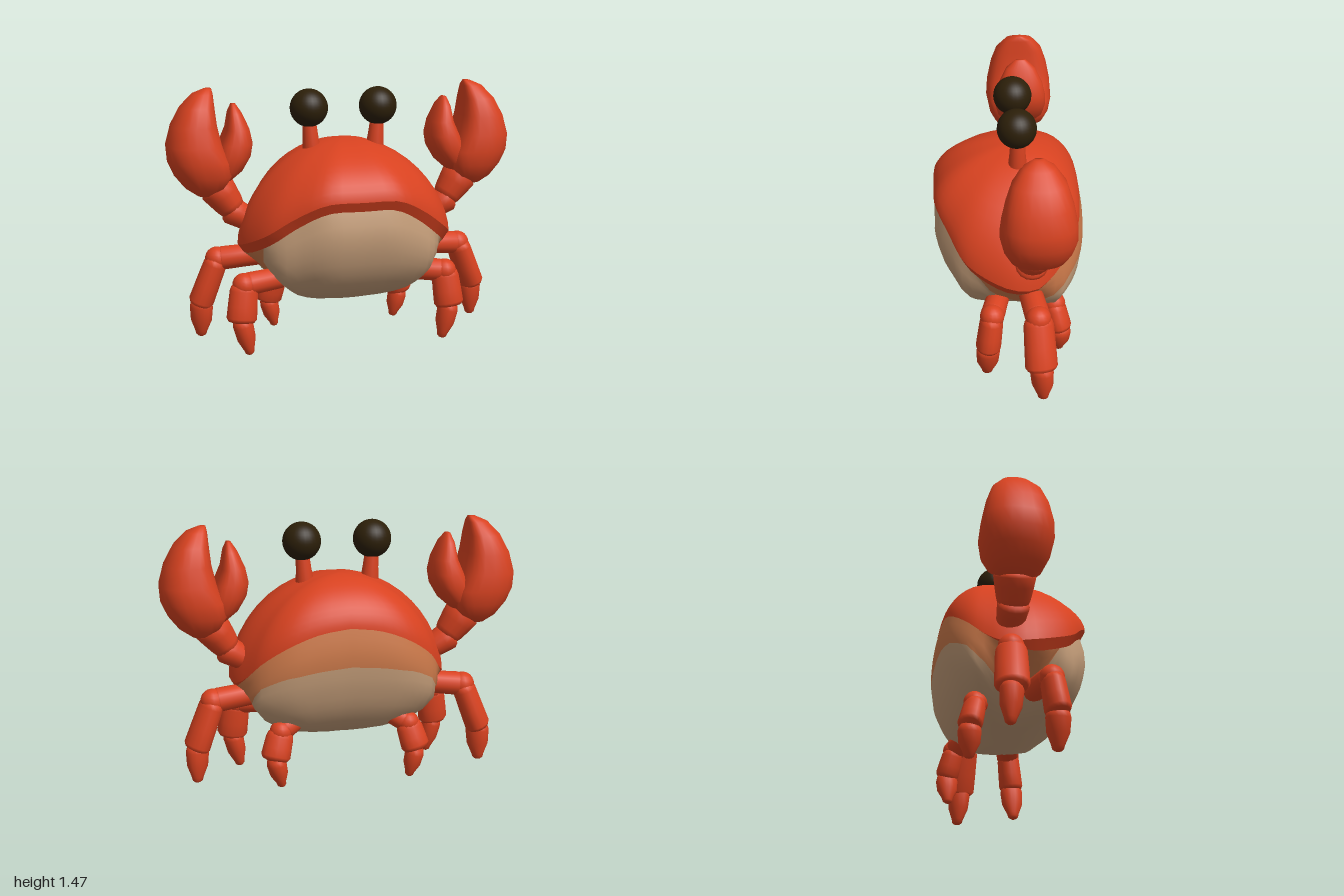
import * as THREE from 'three';

const mat = (name, color) => {
  const m = new THREE.MeshStandardMaterial({ color });
  m.name = name;
  return m;
};
const V = (x, y, z) => new THREE.Vector3(x, y, z);

// Surface through closed rings listed from top to bottom
function loft(rings) {
  const n = rings[0].length, pos = [], idx = [];
  rings.forEach(r => r.forEach(p => pos.push(p.x, p.y, p.z)));
  for (let i = 0; i < rings.length - 1; i++) {
    for (let j = 0; j < n; j++) {
      const k = (j + 1) % n;
      const a = i * n + j, b = a + n, c = (i + 1) * n + k, d = i * n + k;
      idx.push(a, b, c, a, c, d);
    }
  }
  const g = new THREE.BufferGeometry();
  g.setAttribute('position', new THREE.Float32BufferAttribute(pos, 3));
  g.setIndex(idx);
  g.computeVertexNormals();
  return g;
}

// Piecewise linear lookup in [[x, y], ...]
function lookup(table, x) {
  for (let i = 1; i < table.length; i++) {
    const [x0, y0] = table[i - 1], [x1, y1] = table[i];
    if (x <= x1) return y0 + (y1 - y0) * Math.max(0, (x - x0) / (x1 - x0));
  }
  return table[table.length - 1][1];
}

// Limb segment with rounded ends from a to b; radii at start, middle and end
function segment(a, b, r1, mid, r2, depth = 1) {
  const len = a.distanceTo(b);
  const profile = [
    [0, -0.02], [r1 * 0.6, -0.015], [r1 * 0.9, 0.01], [r1, 0.035], [mid, len * 0.55],
    [r2, len - 0.03], [r2 * 0.85, len - 0.01], [r2 * 0.5, len], [0, len + 0.003],
  ].map(p => new THREE.Vector2(...p));
  const g = new THREE.LatheGeometry(profile, 16);
  g.scale(1, 1, depth);
  const q = new THREE.Quaternion().setFromUnitVectors(V(0, 1, 0), b.clone().sub(a).normalize());
  g.applyQuaternion(q);
  g.translate(a.x, a.y, a.z);
  return g;
}

// Claw finger from levels [y, inner x, outer x, half depth]; flat is the flatter side in x
function finger(levels, side, flat) {
  const ring = ([y, x0, x1, d], k = 1) => {
    const out = [];
    for (let j = 0; j < 24; j++) {
      const t = j / 24 * Math.PI * 2, c = Math.cos(t), s = Math.sin(t);
      const e = s * flat * side > 0 ? 0.62 : 0.88;
      out.push(V(
        side * (x0 + x1) / 2 + k * (x1 - x0) / 2 * Math.sign(s) * Math.abs(s) ** e,
        y,
        -0.118 + k * d * Math.sign(c) * Math.abs(c) ** e));
    }
    return out;
  };
  const rings = levels.map(l => ring(l));
  return loft([ring(levels[0], 0), ...rings, ring(levels[levels.length - 1], 0)]);
}

export function createModel() {
  const red = mat('shell red', 0xd84220);
  const tan = mat('belly tan', 0xc49d79);
  const orange = mat('stripe orange', 0xcb794a);
  const dark = mat('eye dark', 0x2c1f09);

  const crab = new THREE.Group();
  crab.name = 'crab';
  const add = (name, geo, material, parent = crab) => {
    const m = new THREE.Mesh(geo, material);
    m.name = name;
    parent.add(m);
  };

  // Shell rim: half loop from front centre to back centre, then mirrored
  const curve = new THREE.CatmullRomCurve3([
    V(0, 0.905, 0.41), V(0.2, 0.9, 0.403), V(0.36, 0.82, 0.335), V(0.5, 0.715, 0.25),
    V(0.588, 0.64, 0.1), V(0.618, 0.605, -0.02), V(0.6, 0.595, -0.13), V(0.55, 0.645, -0.22),
    V(0.475, 0.745, -0.31), V(0.34, 0.845, -0.375), V(0.17, 0.915, -0.395), V(0, 0.94, -0.397),
  ]);
  const half = curve.getSpacedPoints(30);
  const rim = [...half, ...half.slice(1, -1).reverse().map(p => V(-p.x, p.y, p.z))];

  // Domed shell
  const dome = [];
  for (let i = 0; i <= 12; i++) {
    const t = i / 12 * Math.PI / 2, s = Math.sin(t), c = Math.cos(t) ** 1.18;
    dome.push(rim.map(p => V(p.x * s, p.y + (1.183 - p.y) * c, -0.08 + (p.z + 0.08) * s)));
  }
  add('shell', loft(dome), red);

  // Lip folded under the front and sides of the shell
  const inset = rim.map(p => {
    const k = THREE.MathUtils.smoothstep(p.z, -0.25, 0.08);
    return V(p.x * (1 - 0.06 * k), p.y - 0.055 * k, -0.05 + (p.z + 0.05) * (1 - 0.06 * k));
  });
  add('shellLip', loft([rim, inset]), red);

  // Underside: orange stripe round the back and sides, tan belly below
  const deep = [[0, 1], [0.12, 1.05], [0.25, 1.065], [0.46, 1.01], [0.66, 0.88], [0.8, 0.71], [0.9, 0.5], [0.97, 0.24], [1, 0]];
  const shallow = [[0, 1], [0.14, 0.9], [0.28, 0.81], [0.56, 0.66], [0.8, 0.5], [0.94, 0.34], [1, 0]];
  const stripeWidth = [[-0.4, 0.31], [-0.37, 0.27], [-0.3, 0.26], [-0.2, 0.45], [-0.05, 0.56], [0.07, 0.45], [0.13, 0.2], [0.17, 0]];
  const under = (p, h) => {
    const k = THREE.MathUtils.clamp((p.y - 0.55) / 0.14, 0, 1);
    const f = THREE.MathUtils.lerp(lookup(shallow, h), lookup(deep, h), k);
    return V(p.x * Math.min(f, 1), p.y + (0.248 - p.y) * h, -0.05 + (p.z + 0.05) * f);
  };
  const rows = [], stripeRows = 4, bellyRows = 12;
  for (let i = 0; i <= stripeRows; i++) {
    rows.push(inset.map(p => under(p, lookup(stripeWidth, p.z) * i / stripeRows)));
  }
  for (let i = 1; i <= bellyRows; i++) {
    const t = Math.sin(i / bellyRows * Math.PI / 2);
    rows.push(inset.map(p => {
      const w = lookup(stripeWidth, p.z);
      return under(p, w + (1 - w) * t);
    }));
  }
  const belly = loft(rows);
  const cut = stripeRows * rim.length * 6;
  belly.addGroup(0, cut, 0);
  belly.addGroup(cut, bellyRows * rim.length * 6, 1);
  add('belly', belly, [orange, tan]);

  // Leg joints: hip, knee, ankle, toe; radius; inward shift of the left leg
  const legs = [
    ['frontLeg', [0.37, 0.42, 0.05], [0.61, 0.405, 0.108], [0.635, 0.19, 0.135], [0.588, 0.008, 0.137], 0.066, 0.045],
    ['middleLeg', [0.42, 0.53, -0.09], [0.725, 0.5, -0.13], [0.83, 0.225, -0.145], [0.825, 0.04, -0.155], 0.068, 0],
    ['backLeg', [0.26, 0.39, -0.2], [0.365, 0.335, -0.25], [0.41, 0.175, -0.288], [0.367, 0.022, -0.28], 0.062, 0],
  ];
  const bigFinger = [
    [1.478, 0.735, 0.775, 0.025], [1.45, 0.73, 0.84, 0.08], [1.38, 0.725, 0.91, 0.135],
    [1.28, 0.715, 0.965, 0.168], [1.17, 0.69, 0.996, 0.19], [1.08, 0.645, 0.99, 0.197],
    [1.0, 0.635, 0.955, 0.18], [0.93, 0.675, 0.9, 0.145], [0.885, 0.745, 0.835, 0.09],
  ];
  const smallFinger = [
    [1.388, 0.602, 0.628, 0.03], [1.34, 0.57, 0.645, 0.085], [1.25, 0.53, 0.66, 0.128],
    [1.17, 0.513, 0.695, 0.146], [1.1, 0.525, 0.72, 0.15], [1.02, 0.572, 0.74, 0.132], [0.965, 0.635, 0.75, 0.09],
  ];

  for (const s of [1, -1]) {
    const side = s > 0 ? 'left' : 'right';
    const at = ([x, y, z], inward = 0) => V(s * (x - inward), y, z);
    const group = name => {
      const g = new THREE.Group();
      g.name = side + name[0].toUpperCase() + name.slice(1);
      crab.add(g);
      return g;
    };

    // Eye on a stalk
    const eye = group('eye');
    add('stalk', segment(at([0.18, 1.06, -0.05]), at([0.2, 1.32, -0.05]), 0.055, 0.044, 0.038), red, eye);
    add('eyeball', new THREE.SphereGeometry(0.107, 28, 20).translate(s * 0.2, 1.36, -0.045), dark, eye);

    // Arm and claw
    const arm = group('arm');
    add('upperArm', segment(at([0.53, 0.72, -0.1]), at([0.665, 0.8, -0.1]), 0.07, 0.076, 0.08, 1.1), red, arm);
    add('forearm', segment(at([0.628, 0.79, -0.1]), at([0.735, 0.94, -0.11]), 0.082, 0.094, 0.102, 1.13), red, arm);
    add('bigFinger', finger(bigFinger, s, -1), red, arm);
    add('smallFinger', finger(smallFinger, s, 1), red, arm);

    // Walking legs
    for (const [name, hip, kneeAt, ankleAt, toe, r, shift] of legs) {
      const leg = group(name), inward = s > 0 ? shift : 0;
      const knee = at(kneeAt, inward), ankle = at(ankleAt, inward);
      const footTop = ankle.clone().lerp(knee, 0.1);
      add('thigh', segment(at(hip, inward), knee, r * 0.95, r * 0.97, r), red, leg);
      add('knee', new THREE.SphereGeometry(r * 1.02, 16, 12).translate(knee.x, knee.y, knee.z), red, leg);
      add('shin', segment(knee, ankle, r * 0.98, r * 1.03, r * 1.06, 1.25), red, leg);
      add('foot', segment(footTop, at(toe, inward), r * 0.88, r * 0.8, r * 0.46, 1.15), red, leg);
    }
  }
  return crab;
}
